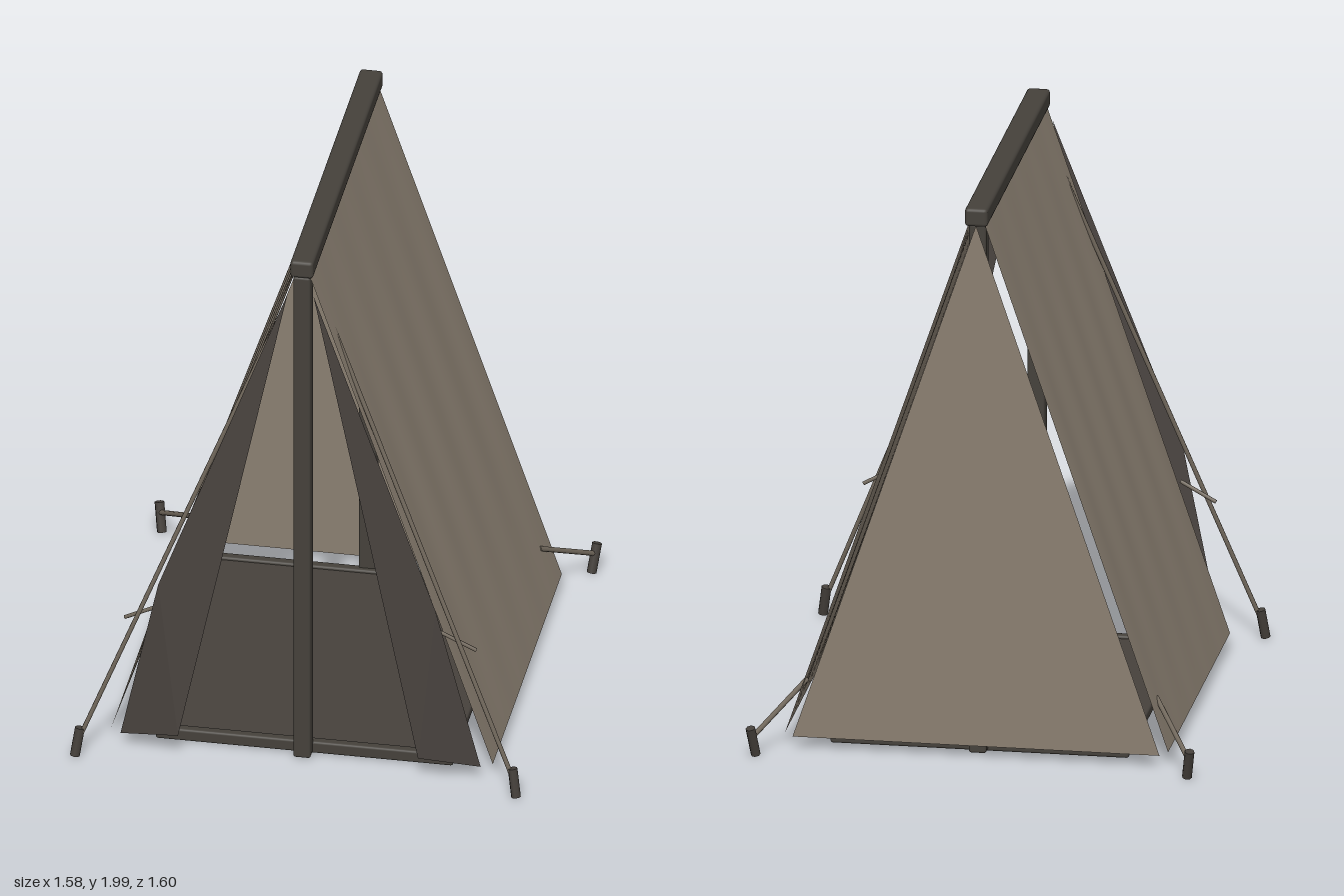
import * as THREE from 'three';
import { RoundedBoxGeometry } from 'three/addons/geometries/RoundedBoxGeometry.js';

const mat = (name, color, side = THREE.FrontSide) => {
  const m = new THREE.MeshStandardMaterial({ color, side });
  m.name = name;
  return m;
};

export function createModel() {
  const canvas = mat('canvas', 0x8a7f71, THREE.DoubleSide);
  const flapCloth = mat('dark cloth', 0x4a4440, THREE.DoubleSide);
  const wood = mat('dark wood', 0x45413b);
  const rope = mat('rope', 0x70675b);
  const iron = mat('stake iron', 0x443f3a);
  const floorCloth = mat('floor cloth', 0x46413c);

  const group = new THREE.Group();
  const add = (name, geometry, material) => {
    const m = new THREE.Mesh(geometry, material);
    m.name = name;
    group.add(m);
    return m;
  };
  const box = (name, w, h, d, x, y, z, material, r = 0.008) =>
    add(name, new RoundedBoxGeometry(w, h, d, 2, r), material).position.set(x, y, z);

  // Cylinder running between two points
  const rod = (name, a, b, r, material, sides = 8) => {
    const p = new THREE.Vector3(...a), q = new THREE.Vector3(...b);
    const dir = q.clone().sub(p);
    const m = add(name, new THREE.CylinderGeometry(r, r, dir.length(), sides), material);
    m.position.copy(p).add(q).multiplyScalar(0.5);
    m.quaternion.setFromUnitVectors(new THREE.Vector3(0, 1, 0), dir.normalize());
  };

  // Flat-shaded sheet from corner triples
  const sheet = (name, corners, material) => {
    const g = new THREE.BufferGeometry();
    g.setAttribute('position', new THREE.Float32BufferAttribute(corners.flat(), 3));
    g.computeVertexNormals();
    return add(name, g, material);
  };

  // Ridge beam, poles and floor
  box('ridgeBeam', 0.08, 0.065, 1.33, 0, 1.9675, 0.005, wood, 0.012);
  box('frontPole', 0.06, 1.92, 0.06, 0, 0.975, 0.635, wood);
  box('rearPole', 0.06, 1.92, 0.06, 0, 0.975, -0.6, wood);
  box('floor', 1.04, 0.035, 1.2, 0, 0.0275, 0.015, floorCloth);
  for (const z of [0.6, -0.57]) box('floorRail', 1.04, 0.045, 0.035, 0, 0.033, z, wood);

  // Rear wall
  sheet('rearWall', [[0.64, 0.05, -0.657], [-0.64, 0.05, -0.657], [0, 1.94, -0.657]], canvas);

  for (const s of [1, -1]) {
    // Sloping roof panel with faint ripples along its length
    const panel = new THREE.PlaneGeometry(1, 1, 64, 6);
    const pos = panel.attributes.position;
    for (let i = 0; i < pos.count; i++) {
      const u = pos.getX(i) + 0.5, v = 0.5 - pos.getY(i);
      const ripple = 0.003 * Math.sin(u * Math.PI * 9) * Math.sin(v * Math.PI);
      const x = 0.025 + 0.643 * v + ripple;
      pos.setXYZ(i, s * x, 1.95 - 1.89 * v + ripple * 0.33, s * (0.66 - 1.305 * u) + (s < 0 ? 0.015 : 0));
    }
    panel.computeVertexNormals();
    add('roofPanel', panel, canvas);

    // Folded-back door flap
    const top = [s * 0.045, 1.88, 0.685], fold = [s * 0.485, 0.71, 0.757];
    const inner = [s * 0.42, 0.1, 0.735], outer = [s * 0.63, 0.06, 0.685];
    const faces = s > 0
      ? [top, inner, fold, fold, inner, outer]
      : [top, fold, inner, fold, outer, inner];
    sheet('doorFlap', faces, flapCloth);
    rod('flapTie', [s * 0.49, 0.59, 0.695], [s * 0.615, 0.525, 0.685], 0.007, rope);

    // Guy ropes and stakes
    rod('frontGuyRope', [s * 0.1, 1.71, 0.6], [s * 0.765, 0.06, 0.772], 0.008, rope);
    rod('rearGuyRope', [s * 0.61, 0.22, -0.535], [s * 0.76, 0.08, -0.77], 0.009, rope);
    rod('frontStake', [s * 0.772, 0.012, 0.782], [s * 0.757, 0.115, 0.766], 0.017, iron);
    rod('rearStake', [s * 0.752, 0.012, -0.755], [s * 0.766, 0.115, -0.784], 0.017, iron);
  }
  return group;
}
